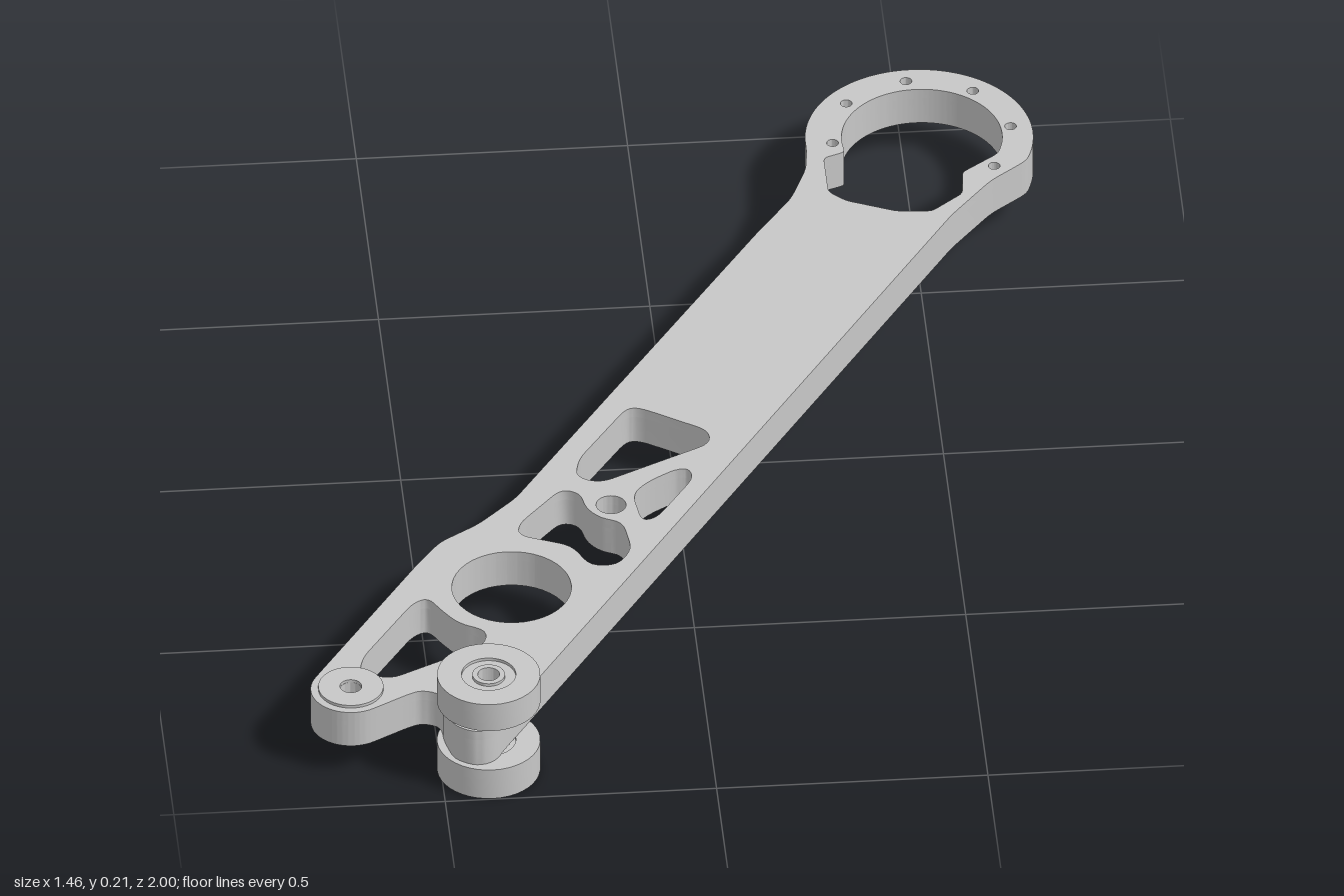
import * as THREE from 'three';
import { toCreasedNormals } from 'three/addons/utils/BufferGeometryUtils.js';

const metal = new THREE.MeshStandardMaterial({ color: 0xc7c7c7 });
metal.name = 'grey metal';

// Points along an arc in plan (x, z), angles in degrees
function arc(cx, cz, r, a0, a1, n = 16) {
  return Array.from({ length: n + 1 }, (_, i) => {
    const a = THREE.MathUtils.degToRad(a0 + (a1 - a0) * i / n);
    return [cx + r * Math.cos(a), cz + r * Math.sin(a)];
  });
}
const circle = (cx, cz, r, n = 32) => arc(cx, cz, r, 0, 360, n).slice(0, -1);

// Closed plan outline with softened corners
function rounded(points, r, Type = THREE.Path) {
  const path = new Type();
  const p = points.map(([x, z]) => new THREE.Vector2(x, -z));
  p.forEach((c, i) => {
    const toward = (q) => {
      const d = c.distanceTo(q);
      return c.clone().lerp(q, Math.min(r / d, 0.49));
    };
    const a = toward(p[(i + p.length - 1) % p.length]);
    const b = toward(p[(i + 1) % p.length]);
    if (i === 0) path.moveTo(a.x, a.y); else path.lineTo(a.x, a.y);
    path.quadraticCurveTo(c.x, c.y, b.x, b.y);
  });
  path.closePath();
  return path;
}

function addMesh(parent, name, geometry, x = 0, y = 0, z = 0) {
  const mesh = new THREE.Mesh(geometry, metal);
  mesh.name = name;
  mesh.position.set(x, y, z);
  parent.add(mesh);
  return mesh;
}

// Flat plate between two heights; the outline runs counter-clockwise so hole walls face inward
function plate(parent, name, outline, holes, y0, y1) {
  const shape = rounded([...outline].reverse(), 0.02, THREE.Shape);
  shape.holes = holes;
  const g = new THREE.ExtrudeGeometry(shape, { depth: y1 - y0, bevelEnabled: false, curveSegments: 4 });
  g.rotateX(-Math.PI / 2);
  return addMesh(parent, name, toCreasedNormals(g, 0.5), 0, y0, 0);
}

// Turned part from a closed [radius, height] profile
function turned(parent, name, profile, x, y, z) {
  const pts = [...profile, profile[0]].map(([r, h]) => new THREE.Vector2(r, h));
  return addMesh(parent, name, toCreasedNormals(new THREE.LatheGeometry(pts, 40), 0.5), x, y, z);
}

export function createModel() {
  const model = new THREE.Group();
  model.name = 'leverArm';
  const RING = [0.52, -0.79], PIVOT = [-0.66, 0.83], ROLLER = [-0.412, 0.903];

  // Arm outline: ring head, straight beam, forked pivot end
  const outline = [
    ...arc(...RING, 0.21, 175, 385, 32),
    [0.64, -0.645], [0.56, -0.545],
    [-0.385, 0.937], [-0.405, 0.973], [-0.44, 0.985], [-0.48, 0.96], [-0.495, 0.9], [-0.495, 0.86],
    [-0.53, 0.845], [-0.555, 0.855],
    ...arc(...PIVOT, 0.074, 62, 212),
    [-0.51, 0.46], [-0.46, 0.39], [-0.385, 0.34], [-0.31, 0.265],
    [0.2, -0.52], [0.27, -0.62], [0.305, -0.71],
  ];

  // Lightening windows
  const windows = [
    [[-0.085, 0.005], [-0.06, 0.005], [0.06, 0.085], [0.06, 0.125], [-0.15, 0.23], [-0.195, 0.21], [-0.185, 0.155]],
    [[0.015, 0.20], [0.02, 0.23], [-0.055, 0.345], [-0.085, 0.355], [-0.095, 0.27], [-0.065, 0.235], [-0.01, 0.20]],
    [[-0.225, 0.245], [-0.19, 0.26], [-0.185, 0.305], [-0.16, 0.34], [-0.12, 0.355], [-0.11, 0.44], [-0.14, 0.487],
      [-0.19, 0.485], [-0.22, 0.42], [-0.315, 0.38], [-0.31, 0.345]],
    [[-0.495, 0.56], [-0.475, 0.60], [-0.445, 0.645], [-0.395, 0.67], [-0.405, 0.715], [-0.585, 0.805],
      [-0.64, 0.78], [-0.63, 0.735], [-0.525, 0.575]],
  ].map((w) => rounded(w, 0.024));

  // Round holes: bearing seat, dowel, pivots and ring bolts
  const bolts = [[0.51, -0.965], [0.63, -0.925], [0.69, -0.81], [0.65, -0.69], [0.395, -0.905], [0.36, -0.785]];
  const rounds = [[-0.34, 0.54, 0.11], [-0.137, 0.30, 0.028], [...PIVOT, 0.02], [...ROLLER, 0.02],
    ...bolts.map((b) => [...b, 0.011])].map(([x, z, r]) => rounded(circle(x, z, r, r > 0.05 ? 40 : 16), 0.003));

  // Ring opening, closed above and running into the pocket below
  const bore = [...arc(0.525, -0.79, 0.148, 172, 385, 28), [0.59, -0.675]];
  const neck = [[0.34, -0.635], [0.34, -0.74], [0.38, -0.755]];
  const skinHole = [...bore, [0.585, -0.61], [0.525, -0.56], [0.46, -0.565], [0.37, -0.605], ...neck];
  const pocket = [...bore, [0.585, -0.625], [0.549, -0.575], [0.131, 0.083], [-0.034, -0.022], [0.191, -0.376],
    [0.153, -0.40], [0.239, -0.536], ...neck];

  plate(model, 'armTopSkin', outline, [...windows, ...rounds, rounded(skinHole, 0.01)], 0.122, 0.142);
  plate(model, 'armBody', outline, [...windows, ...rounds, rounded(pocket, 0.01)], 0.066, 0.122);

  // Pivot bushing
  turned(model, 'pivotBushing', [[0.02, 0], [0.06, 0], [0.06, 0.088], [0.02, 0.088]], PIVOT[0], 0.06, PIVOT[1]);

  // Two rollers above and below the arm, each with a grooved face
  for (const [name, y, h] of [['lowerRoller', 0, 0.065], ['upperRoller', 0.154, 0.06]]) {
    const profile = [[0.02, 0], [0.03, 0], [0.03, 0.006], [0.05, 0.006], [0.05, 0], [0.095, 0],
      [0.095, h], [0.05, h], [0.05, h - 0.006], [0.03, h - 0.006], [0.03, h], [0.02, h]];
    turned(model, name, profile, ROLLER[0], y, ROLLER[1]);
  }

  // Underside module in the pocket, aligned with the beam
  const unit = new THREE.Group();
  unit.name = 'undersideModule';
  unit.position.set(0.13, 0, -0.12);
  unit.rotation.y = -0.568;
  model.add(unit);
  const box = (name, w, l, y0, y1, x, z) =>
    addMesh(unit, name, new THREE.BoxGeometry(w, y1 - y0, l), x, (y0 + y1) / 2, z);
  box('moduleBase', 0.142, 0.285, 0.06, 0.122, 0, 0);
  box('moduleCover', 0.136, 0.09, 0.05, 0.062, 0, -0.095);
  for (const s of [-1, 1]) {
    box('moduleRail', 0.014, 0.285, 0.05, 0.062, s * 0.064, 0);
    box('moduleTab', 0.02, 0.035, 0.055, 0.075, s * 0.04, 0.14);
    addMesh(unit, 'moduleScrew', new THREE.CylinderGeometry(0.011, 0.011, 0.02, 16), s * 0.042, 0.055, 0.1);
  }
  for (const x of [-0.036, 0, 0.036]) {
    for (const z of [-0.085, -0.06]) box('moduleContact', 0.02, 0.014, 0.046, 0.056, x, z);
  }
  box('moduleBridge', 0.128, 0.016, 0.047, 0.062, 0, -0.012);
  addMesh(unit, 'moduleHub', new THREE.CylinderGeometry(0.038, 0.038, 0.02, 28), 0, 0.055, 0.055);
  return model;
}
